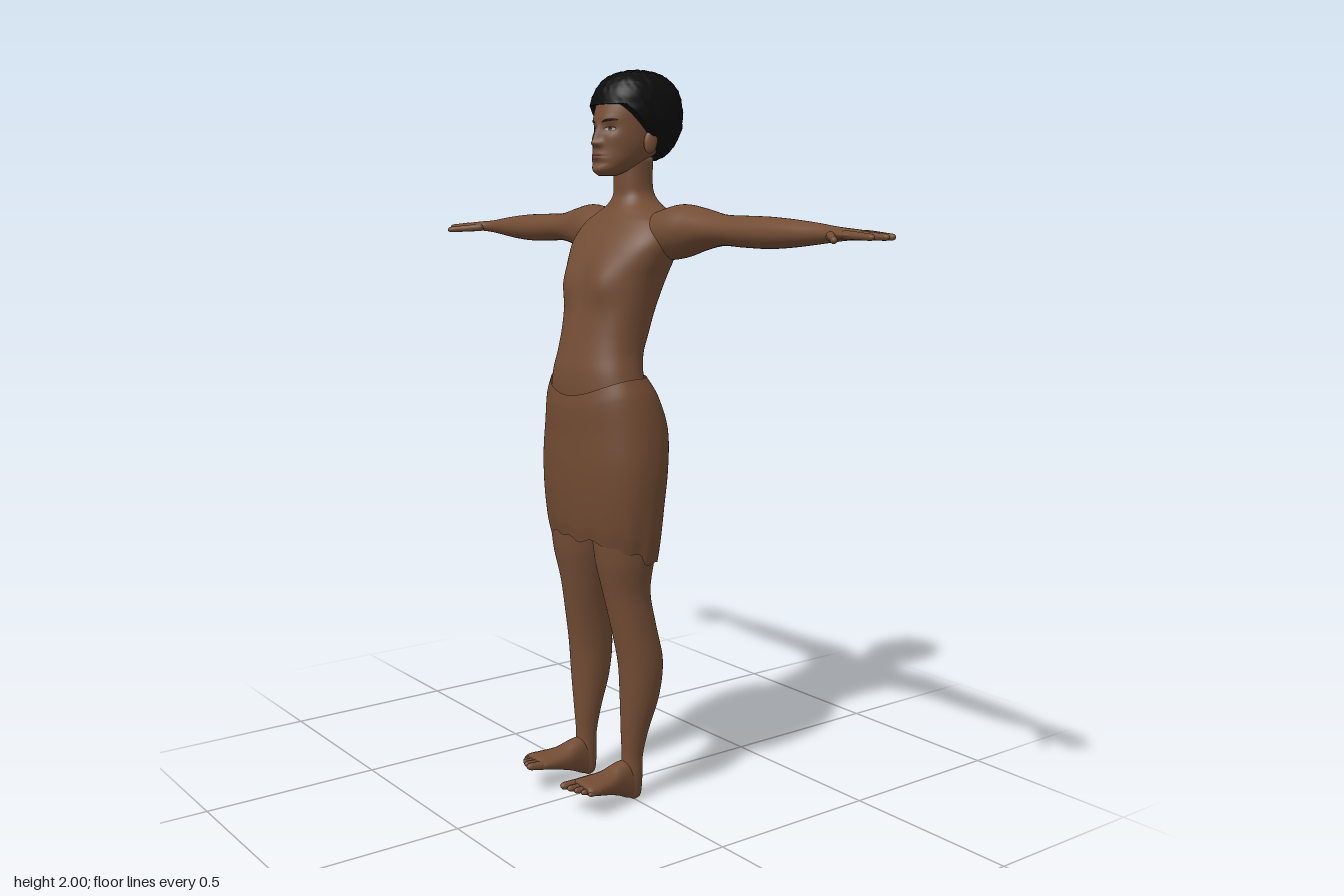
import * as THREE from 'three';

const mat = (name, color, side = THREE.FrontSide) => {
  const m = new THREE.MeshStandardMaterial({ color, side });
  m.name = name;
  return m;
};
const gauss = (d, w) => Math.exp(-(d * d) / (w * w));
const spow = (c, e) => Math.sign(c) * Math.pow(Math.abs(c), e);

// Smooth interpolation of section rows [t, uMin, uMax, vMin, vMax]
function sample(rows, i, f) {
  const a = rows[i], b = rows[i + 1], h = b[0] - a[0];
  const slope = (j, k) => {
    const p = rows[Math.max(j - 1, 0)], q = rows[Math.min(j + 1, rows.length - 1)];
    return (q[k] - p[k]) / (q[0] - p[0]);
  };
  return a.map((v, k) => k === 0 ? v + h * f :
    v * (2 * f ** 3 - 3 * f * f + 1) + b[k] * (3 * f * f - 2 * f ** 3) +
    h * (slope(i, k) * (f ** 3 - 2 * f * f + f) + slope(i + 1, k) * (f ** 3 - f * f)));
}

// Skin a tube over the section rows; map(t, u, v) gives the point, warp(p) adds relief
function loft(rows, map, { n = 40, steps = 5, p = 2, warp = () => {}, caps = true } = {}) {
  const pos = [], idx = [], e = 2 / p, rings = (rows.length - 1) * steps + 1;
  const add = (t, u, v) => {
    const q = new THREE.Vector3(...map(t, u, v));
    warp(q);
    pos.push(q.x, q.y, q.z);
  };
  for (let r = 0; r < rings; r++) {
    const i = Math.min(Math.floor(r / steps), rows.length - 2);
    const [t, u0, u1, v0, v1] = sample(rows, i, r / steps - i);
    for (let k = 0; k < n; k++) {
      const a = k / n * Math.PI * 2;
      add(t, (u0 + u1) / 2 + (u1 - u0) / 2 * spow(Math.cos(a), e),
        (v0 + v1) / 2 + (v1 - v0) / 2 * spow(Math.sin(a), e));
    }
  }
  for (let r = 0; r < rings - 1; r++) for (let k = 0; k < n; k++) {
    const a = r * n + k, b = r * n + (k + 1) % n;
    idx.push(a, b, a + n, b, b + n, a + n);
  }
  if (caps) for (const [row, base, last] of [[rows[0], 0, false], [rows[rows.length - 1], (rings - 1) * n, true]]) {
    const c = pos.length / 3;
    add(row[0], (row[1] + row[2]) / 2, (row[3] + row[4]) / 2);
    for (let k = 0; k < n; k++) {
      const a = base + k, b = base + (k + 1) % n;
      idx.push(...(last ? [a, b, c] : [b, a, c]));
    }
  }
  // Turn the faces outward
  const P = i => new THREE.Vector3().fromArray(pos, i * 3);
  const g = new THREE.BufferGeometry();
  g.setAttribute('position', new THREE.Float32BufferAttribute(pos, 3));
  g.computeBoundingBox();
  const mid = g.boundingBox.getCenter(new THREE.Vector3());
  let out = 0;
  for (let i = 0; i < idx.length; i += 3) {
    const a = P(idx[i]).sub(mid), b = P(idx[i + 1]).sub(mid), c = P(idx[i + 2]).sub(mid);
    out += a.dot(b.cross(c));
  }
  g.setIndex(out < 0 ? idx.reverse() : idx);
  g.computeVertexNormals();
  return g;
}

export function createModel() {
  const model = new THREE.Group();
  const skin = mat('skin', 0x734d35), cloth = mat('skirt cloth', 0x704a32, THREE.DoubleSide);
  const black = mat('hair', 0x0c0c0c), brown = mat('brow and iris', 0x1c120d);
  const white = mat('eye white', 0xa8988a), lip = mat('lip', 0x5e382c);
  const mesh = (name, geo, m, parent = model) => {
    const o = new THREE.Mesh(geo, m);
    o.name = name;
    parent.add(o);
    return o;
  };
  const upright = (y, x, z) => [x, y, z];

  // Torso and neck: y, x range, z range
  mesh('torso', loft([
    [1.05, -.17, .17, -.07, .12], [1.14, -.168, .168, -.065, .133], [1.2, -.154, .154, -.055, .132],
    [1.25, -.142, .142, -.062, .123], [1.3, -.14, .14, -.08, .113], [1.37, -.146, .146, -.102, .1],
    [1.45, -.16, .16, -.132, .088], [1.5, -.177, .177, -.148, .073], [1.55, -.188, .188, -.162, .046],
    [1.6, -.165, .165, -.165, .01], [1.625, -.12, .12, -.16, -.008], [1.645, -.08, .08, -.15, -.02],
    [1.67, -.058, .058, -.136, -.03], [1.7, -.053, .053, -.13, -.03], [1.77, -.055, .055, -.13, -.03],
  ], upright, {
    n: 64, p: 2.25, warp: q => {
      if (q.z > -.02) {
        q.z += .014 * gauss(Math.abs(q.x) - .08, .045) * gauss(q.y - 1.435, .05);
        q.z -= .006 * gauss(q.x, .02) * gauss(q.y - 1.42, .1);
      } else if (q.y < 1.62) q.z += .009 * gauss(q.x, .03) * gauss(q.y - 1.38, .16);
    },
  }), skin);

  // Wrapped skirt with a dipped waist and an uneven hem
  mesh('skirt', loft([
    [.7, -.188, .188, -.093, .132], [.75, -.199, .199, -.098, .14], [.85, -.211, .211, -.106, .147],
    [.95, -.215, .215, -.118, .149], [1.05, -.206, .206, -.122, .147], [1.14, -.187, .187, -.094, .146],
    [1.19, -.164, .164, -.064, .14],
  ], upright, {
    n: 96, p: 2.2, caps: false, warp: q => {
      const a = Math.atan2((q.z - .02) / .13, q.x / .2), f = Math.max(Math.sin(a), 0);
      const hem = .69 + .06 * Math.pow(f, .45) + .005 * Math.sin(a * 13) + .004 * Math.sin(a * 7 + 1);
      const top = 1.19 - .05 * f ** 3;
      if (q.z < 0) q.z += .012 * gauss(q.x, .035) * gauss(q.y - .98, .12);
      q.y = hem + (q.y - .7) / .49 * (top - hem);
    },
  }), cloth);

  for (const s of [1, -1]) {
    const side = s > 0 ? 'left' : 'right';
    const part = (name, geo, parent) => mesh(side + name, geo, skin, parent);
    // Tapered finger or toe from a to b, flattened a little in height
    const digit = (name, a, b, r, parent) => {
      const A = new THREE.Vector3(s * a[0], a[1], a[2]), B = new THREE.Vector3(s * b[0], b[1], b[2]);
      const d = B.clone().sub(A), g = new THREE.CapsuleGeometry(r, d.length(), 6, 12, 4);
      const at = g.attributes.position, h = d.length();
      for (let i = 0; i < at.count; i++) {
        const k = 1 - .25 * (at.getY(i) / h + .5);
        at.setXYZ(i, at.getX(i) * k, at.getY(i), at.getZ(i) * k);
      }
      g.applyQuaternion(new THREE.Quaternion().setFromUnitVectors(new THREE.Vector3(0, 1, 0), d.normalize()));
      g.translate(...A.add(B).multiplyScalar(.5).toArray());
      g.computeVertexNormals();
      part(name, g, parent);
    };

    // Arm with palm: x, y range, z range
    const arm = new THREE.Group();
    arm.name = side + 'ArmGroup';
    model.add(arm);
    part('Arm', loft([
      [.05, 1.53, 1.61, -.14, -.05], [.12, 1.5, 1.628, -.16, -.02], [.2, 1.505, 1.645, -.168, -.022],
      [.27, 1.525, 1.636, -.164, -.038], [.35, 1.54, 1.62, -.156, -.048], [.44, 1.538, 1.617, -.15, -.052],
      [.53, 1.537, 1.615, -.146, -.055], [.62, 1.543, 1.609, -.138, -.062], [.7, 1.552, 1.601, -.13, -.073],
      [.75, 1.558, 1.595, -.127, -.072], [.79, 1.562, 1.592, -.13, -.052], [.83, 1.564, 1.589, -.132, -.042],
      [.855, 1.566, 1.586, -.13, -.043], [.863, 1.571, 1.582, -.122, -.05],
    ], (x, y, z) => [s * x, y, z]), arm);
    [[-.122, -.126, .895], [-.1, -.103, .925], [-.077, -.076, .932], [-.054, -.047, .915]].forEach(([z0, z1, x], i) =>
      digit('Finger' + (i + 1), [.83, 1.577, z0], [x, 1.573, z1], .0105, arm));
    digit('Thumb', [.775, 1.573, -.062], [.848, 1.566, .0], .0115, arm);

    // Leg: y, x range, z range
    part('Leg', loft([
      [0.002, .1, .12, -.012, .005], [.012, .088, .132, -.022, .018], [.04, .082, .138, -.027, .032],
      [.08, .082, .14, -.028, .035], [.13, .083, .139, -.03, .032], [.2, .077, .15, -.045, .035],
      [.3, .067, .169, -.075, .039], [.4, .06, .177, -.085, .045], [.5, .05, .172, -.066, .062],
      [.6, .036, .168, -.05, .082], [.7, .02, .182, -.062, .105], [.9, .005, .192, -.09, .125],
    ], (y, x, z) => [s * x, y, z]), model);

    // Foot, rising towards the toes: z, x range, y range
    part('Foot', loft([
      [-.024, .1, .122, .015, .05], [-.012, .086, .134, .004, .07], [.02, .081, .139, .008, .115],
      [.05, .077, .143, .022, .115], [.09, .071, .152, .036, .1], [.14, .066, .162, .05, .095],
      [.17, .067, .165, .059, .093], [.182, .075, .158, .067, .088],
    ], (z, x, y) => [s * x, y, z], { p: 2.3 }), model);
    [[.081, .21, .0145], [.104, .206, .0115], [.123, .198, .011], [.14, .187, .0105], [.155, .174, .0105]]
      .forEach(([x, z, r], i) => digit('Toe' + (i + 1), [x, .073, .15], [x + .003, .08 + (z - .21) * .2, z], r));

    // Ear
    const ear = part('Ear', new THREE.SphereGeometry(1, 20, 14));
    ear.scale.set(.011, .031, .019);
    ear.position.set(s * .087, 1.808, -.072);
    ear.rotation.set(-.15, s * -.25, 0);
  }

  // Head with modelled brow, nose, lips and chin
  const head = mesh('head', loft([
    [1.72, -.022, .022, -.02, .03], [1.733, -.042, .042, -.05, .042], [1.755, -.06, .06, -.095, .042],
    [1.78, -.072, .072, -.14, .039], [1.81, -.08, .08, -.17, .037], [1.85, -.084, .084, -.185, .035],
    [1.89, -.085, .085, -.19, .03], [1.93, -.08, .08, -.185, .012], [1.965, -.06, .06, -.15, -.03],
  ], upright, {
    n: 128, steps: 10, p: 2.15, warp: q => {
      if (q.z < -.03) return;
      const x = Math.abs(q.x), y = q.y;
      const ridge = y > 1.805 ? Math.max(0, 1 - (y - 1.805) / .06) : gauss(y - 1.805, .009);
      q.z += .021 * ridge * gauss(x, .011) + .008 * gauss(x - .014, .008) * gauss(y - 1.803, .009)
        - .008 * gauss(x - .035, .018) * gauss(y - 1.842, .013) + .003 * gauss(x - .03, .025) * gauss(y - 1.866, .01)
        + .007 * gauss(x, .025) * gauss(y - 1.77, .012) - .004 * gauss(x, .024) * gauss(y - 1.77, .003)
        - .003 * gauss(x, .03) * gauss(y - 1.753, .007) + .005 * gauss(x, .022) * gauss(y - 1.735, .011)
        + .003 * gauss(x - .05, .02) * gauss(y - 1.815, .018);
    },
  }), skin);

  // Thin almond patches laid on the face
  head.updateMatrixWorld(true);
  const ray = new THREE.Raycaster();
  const patch = (name, cx, cy, w, h, m, { tilt = 0, bow = 0, lift = .0012 } = {}) => {
    const g = new THREE.PlaneGeometry(2, 2, 14, 5), at = g.attributes.position;
    for (let i = 0; i < at.count; i++) {
      const u = at.getX(i), v = at.getY(i);
      const x = cx + u * w, y = cy + v * h * Math.sqrt(1 - u * u * .98) + tilt * u * w + bow * (1 - u * u);
      ray.set(new THREE.Vector3(x, y, 1), new THREE.Vector3(0, 0, -1));
      const hit = ray.intersectObject(head)[0];
      at.setXYZ(i, x, y, (hit ? hit.point.z : 0) + lift);
    }
    g.computeVertexNormals();
    mesh(name, g, m);
  };
  for (const s of [1, -1]) {
    const side = s > 0 ? 'left' : 'right';
    patch(side + 'Eyebrow', s * .036, 1.861, .021, .0035, brown, { tilt: s * .12, bow: .003 });
    patch(side + 'EyeRim', s * .035, 1.841, .0165, .0062, brown, { lift: .0008 });
    patch(side + 'Eye', s * .035, 1.8405, .014, .0042, white, { lift: .0016 });
    patch(side + 'Iris', s * .035, 1.8405, .0052, .0046, brown, { lift: .0024 });
  }
  patch('upperLip', 0, 1.7735, .024, .0035, lip, { bow: .001 });
  patch('lowerLip', 0, 1.7655, .021, .0042, lip, { bow: -.001 });

  // Short curly hair: a rounded block trimmed along the hairline
  const hair = new THREE.SphereGeometry(1, 80, 60), at = hair.attributes.position;
  const hairline = z => z > .005 ? 1.905 : z > -.07 ? 1.825 + (z + .07) / .075 * .08 :
    Math.max(1.755, 1.825 + (z + .07) * .95);
  for (let i = 0; i < at.count; i++) {
    const d = new THREE.Vector3().fromBufferAttribute(at, i);
    const k = Math.pow(Math.abs(d.x) ** 2.4 + Math.abs(d.y) ** 2.4 + Math.abs(d.z) ** 2.4, -1 / 2.4);
    const curl = 1 + .014 * Math.sin(d.x * 23 + 1) * Math.sin(d.y * 21) * Math.sin(d.z * 25 + 2)
      + .008 * Math.sin(d.x * 41) * Math.sin(d.y * 37 + d.z * 39);
    d.multiplyScalar(k * curl);
    const z = -.09 + d.z * .124, y = 1.876 + d.y * .122;
    const taper = 1 - .16 * Math.max(0, (1.87 - y) / .12);
    at.setXYZ(i, d.x * .11 * taper, Math.max(y, hairline(z)), z);
  }
  hair.computeVertexNormals();
  mesh('hair', hair, black);
  return model;
}
